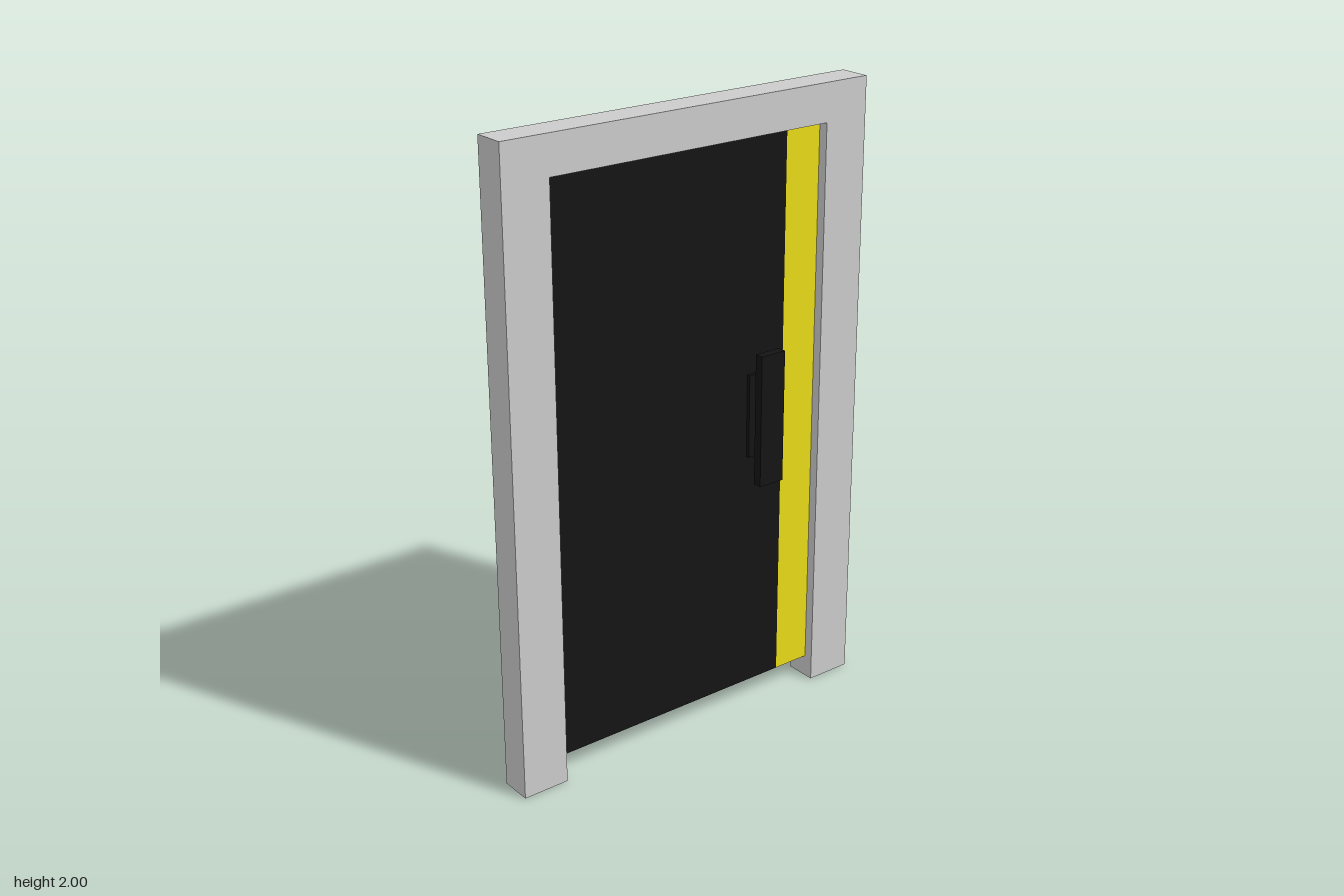
import * as THREE from 'three';

const grey = new THREE.MeshStandardMaterial({ color: 0xcccccc });
const black = new THREE.MeshStandardMaterial({ color: 0x141414 });
const yellow = new THREE.MeshStandardMaterial({ color: 0xe8db18 });

// Box given by its minimum and maximum on each axis
function box(name, material, [x0, x1], [y0, y1], [z0, z1]) {
  const mesh = new THREE.Mesh(new THREE.BoxGeometry(x1 - x0, y1 - y0, z1 - z0), material);
  mesh.position.set((x0 + x1) / 2, (y0 + y1) / 2, (z0 + z1) / 2);
  mesh.name = name;
  return mesh;
}

export function createModel() {
  const group = new THREE.Group();
  group.name = 'door';
  const frameBack = -0.07, frameFront = 0.033;
  const outer = 0.645, inner = 0.492, lintel = 1.88;

  // Door frame: one upside-down U, extruded through the wall depth
  const outline = new THREE.Shape([
    [-outer, 0], [-inner, 0], [-inner, lintel], [inner, lintel],
    [inner, 0], [outer, 0], [outer, 2], [-outer, 2],
  ].map(([x, y]) => new THREE.Vector2(x, y)));
  const frameGeometry = new THREE.ExtrudeGeometry(outline, {
    depth: frameFront - frameBack, bevelEnabled: false,
  });
  frameGeometry.rotateY(Math.PI / 2);
  const frame = new THREE.Mesh(frameGeometry, grey);
  frame.position.x = frameBack;
  frame.name = 'doorFrame';
  group.add(frame);

  // Door leaf: dark panel with a bright strip along the opening edge
  const thickness = [-0.055, 0.002], height = [0.073, lintel], seam = -0.365;
  group.add(box('doorPanel', black, thickness, height, [seam, inner]));
  group.add(box('edgeStrip', yellow, thickness, height, [-inner, seam]));

  // Pull handle: backing plate, two standoffs and a long grip plate
  const handle = new THREE.Group();
  handle.name = 'handle';
  handle.add(box('backingPlate', black, [0.002, 0.014], [0.87, 1.14], [-0.315, -0.225]));
  for (const y of [0.95, 1.058]) {
    handle.add(box('standoff', black, [0.002, 0.045], [y - 0.028, y + 0.028], [-0.29, -0.25]));
  }
  handle.add(box('gripPlate', black, [0.041, 0.07], [0.79, 1.217], [-0.315, -0.225]));
  group.add(handle);

  return group;
}
